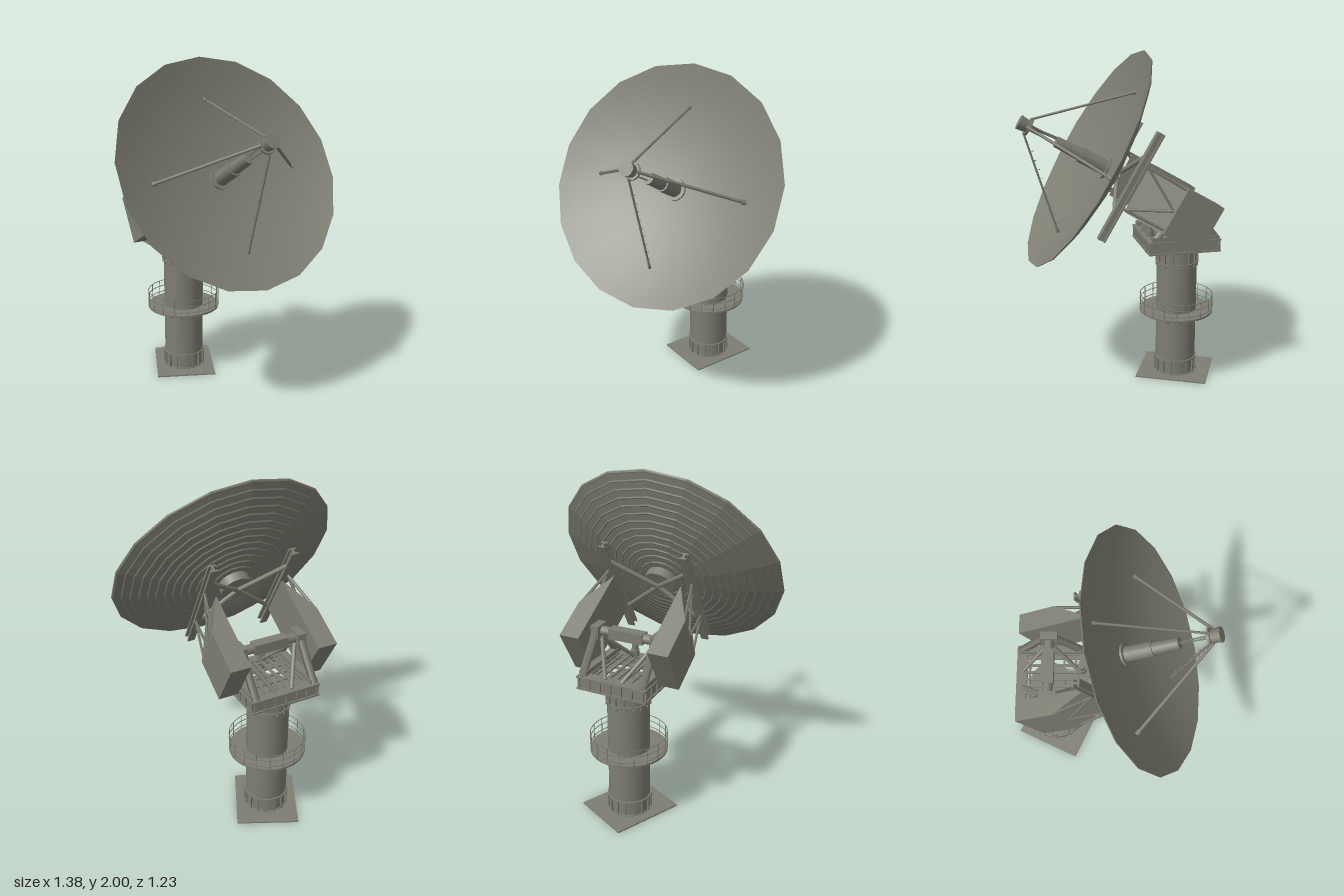
import * as THREE from 'three';

const paint = new THREE.MeshStandardMaterial({ color: 0x7d7d72, side: THREE.DoubleSide });
paint.name = 'olive grey paint';

const V = (x, y, z) => new THREE.Vector3(x, y, z);

function add(parent, name, geometry, x = 0, y = 0, z = 0) {
  const mesh = new THREE.Mesh(geometry, paint);
  mesh.name = name;
  mesh.position.set(x, y, z);
  parent.add(mesh);
  return mesh;
}

function group(parent, name) {
  const g = new THREE.Group();
  g.name = name;
  parent.add(g);
  return g;
}

const box = (p, name, w, h, d, x, y, z) => add(p, name, new THREE.BoxGeometry(w, h, d), x, y, z);

const drum = (p, name, r, y0, y1, sides = 24, open = false) =>
  add(p, name, new THREE.CylinderGeometry(r, r, y1 - y0, sides, 1, open), 0, (y0 + y1) / 2, 0);

// Cylinder along the local z axis
function axial(p, name, r0, r1, z0, z1, sides = 16, y = 0) {
  const g = new THREE.CylinderGeometry(r1, r0, z1 - z0, sides).rotateX(Math.PI / 2);
  return add(p, name, g, 0, y, (z0 + z1) / 2);
}

// Straight member between two points: round, or square when sides is 4
function rod(p, name, a, b, r, sides = 8) {
  const g = new THREE.CylinderGeometry(r, r, a.distanceTo(b), sides);
  if (sides === 4) g.rotateY(Math.PI / 4);
  const mesh = add(p, name, g);
  mesh.position.copy(a).add(b).multiplyScalar(0.5);
  mesh.quaternion.setFromUnitVectors(V(0, 1, 0), b.clone().sub(a).normalize());
  return mesh;
}

const hoop = (p, name, r, t, y) =>
  add(p, name, new THREE.TorusGeometry(r, t, 5, 32).rotateX(Math.PI / 2), 0, y, 0);

// Calls fn with a child group turned to each of n directions
function around(p, name, n, fn) {
  for (let i = 0; i < n; i++) {
    const g = group(p, name);
    g.rotation.y = (i / n) * Math.PI * 2;
    fn(g);
  }
}

function buildTower(root) {
  const tower = group(root, 'tower');

  // Ground plate with a round opening under the column
  const plate = new THREE.Shape([[-1, -1], [1, -1], [1, 1], [-1, 1]].map(
    ([x, y]) => new THREE.Vector2(x * 0.184, y * 0.218)));
  plate.holes.push(new THREE.Path().absarc(0, 0, 0.12, 0, Math.PI * 2, true));
  const plateGeo = new THREE.ExtrudeGeometry(plate, { depth: 0.008, bevelEnabled: false, curveSegments: 24 });
  add(tower, 'basePlate', plateGeo.rotateX(-Math.PI / 2)).rotation.y = -0.358;

  drum(tower, 'column', 0.124, 0, 0.82, 28, true);

  // Bolted flanges with upright gussets
  for (const [y0, y1] of [[0.008, 0.1], [0.73, 0.82]]) {
    for (const y of [y0, y1]) drum(tower, 'flange', 0.133, y - 0.004, y + 0.004, 28);
    around(tower, 'gusset', 16, g => box(g, 'gussetPlate', 0.006, y1 - y0, 0.014, 0, (y0 + y1) / 2, 0.127));
  }
  around(tower, 'lowerBolt', 16, g => box(g, 'lug', 0.012, 0.012, 0.012, 0, 0.712, 0.126));

  // Round gallery with handrail
  const floor = new THREE.LatheGeometry([[0.124, 0.405], [0.228, 0.405], [0.228, 0.417], [0.124, 0.417]]
    .map(([x, y]) => new THREE.Vector2(x, y)), 32).toNonIndexed();
  floor.computeVertexNormals();
  add(tower, 'galleryFloor', floor);
  for (const y of [0.435, 0.475, 0.512]) hoop(tower, 'handrail', 0.226, 0.0025, y);
  around(tower, 'galleryPost', 18, g => rod(g, 'post', V(0, 0.41, 0.226), V(0, 0.512, 0.226), 0.0025, 5));
  around(tower, 'galleryBracket', 12, g => rod(g, 'bracket', V(0, 0.355, 0.122), V(0, 0.406, 0.215), 0.005, 4));
  drum(tower, 'bearing', 0.105, 0.8, 0.85);
}

function buildTurntable(turret) {
  // Rectangular turntable frame with stiffened sides
  const frame = group(turret, 'turntable');
  const zMid = 0.012, w = 0.43, d = 0.44;
  for (const y of [0.84, 0.908]) {
    for (const s of [-1, 1]) {
      box(frame, 'sideFlange', 0.06, 0.01, d, s * (w / 2 - 0.03), y, zMid);
      box(frame, 'endFlange', w, 0.01, 0.06, 0, y, zMid + s * (d / 2 - 0.03));
    }
  }
  for (const s of [-1, 1]) {
    box(frame, 'sideWeb', 0.012, 0.065, d - 0.03, s * (w / 2 - 0.015), 0.874, zMid);
    box(frame, 'endWeb', w - 0.03, 0.065, 0.012, 0, 0.874, zMid + s * (d / 2 - 0.015));
    for (let i = -3; i <= 3; i++) {
      box(frame, 'stiffener', 0.022, 0.065, 0.006, s * (w / 2 - 0.011), 0.874, zMid + i * 0.068);
      box(frame, 'stiffener', 0.006, 0.065, 0.022, i * 0.066, 0.874, zMid + s * (d / 2 - 0.011));
    }
  }
  for (let i = -3; i <= 3; i++) box(frame, 'deckBar', 0.014, 0.01, d - 0.06, i * 0.045, 0.905, zMid);
  for (let i = -2; i <= 2; i++) box(frame, 'deckCrossBar', w - 0.08, 0.01, 0.012, 0, 0.9, zMid + i * 0.07);
  drum(frame, 'slewRing', 0.13, 0.832, 0.846);

  // Two trestles carrying the elevation axle
  const yoke = group(turret, 'yoke');
  const axleY = 1.12;
  for (const s of [-1, 1]) {
    const x = s * 0.185;
    for (const z of [-0.19, 0.2]) {
      rod(yoke, 'trestleLeg', V(x, 0.91, z), V(x, axleY, Math.sign(z) * 0.03), 0.024, 4);
      rod(yoke, 'innerBrace', V(s * 0.05, 0.91, z * 0.9), V(s * 0.165, axleY - 0.03, 0), 0.012);
    }
    box(yoke, 'trestleFoot', 0.045, 0.03, 0.4, x, 0.925, zMid);
    box(yoke, 'axleBearing', 0.05, 0.075, 0.1, x, axleY, 0);
    // Upright drive motors at the front
    const m = group(yoke, 'driveMotor');
    m.position.set(s * 0.055, 0, 0.19);
    drum(m, 'motorBody', 0.026, 0.81, 0.95, 12);
    drum(m, 'motorCap', 0.018, 0.95, 0.99, 12);
  }
  rod(yoke, 'axle', V(-0.22, axleY, 0), V(0.22, axleY, 0), 0.028, 12);
  box(yoke, 'axleHousing', 0.21, 0.06, 0.065, 0, axleY, 0);
}

function buildMount(aim) {
  const mount = group(aim, 'elevationFrame');
  for (const s of [-1, 1]) {
    // Counterweight with a slanted outer front
    const outline = [[0.21, -0.778], [0.33, -0.778], [0.33, -0.53], [0.21, -0.3]]
      .map(([x, z]) => new THREE.Vector2(s * x, z));
    const geo = new THREE.ExtrudeGeometry(new THREE.Shape(outline), { depth: 0.294, bevelEnabled: false });
    add(mount, 'counterweight', geo.rotateX(Math.PI / 2), 0, 0.14, 0);

    // Long I-beam behind the reflector
    const x = s * 0.25;
    for (const z of [-0.268, -0.233]) box(mount, 'beamFlange', 0.045, 0.69, 0.01, x, -0.01, z);
    box(mount, 'beamWeb', 0.012, 0.69, 0.035, x, -0.01, -0.25);

    for (const t of [-1, 1]) {
      rod(mount, 'sideBrace', V(s * 0.265, t * 0.14, -0.27), V(s * 0.32, -0.01, -0.52), 0.009, 4);
      rod(mount, 'edgeBrace', V(s * 0.265, t * 0.135, -0.27), V(s * 0.322, t * 0.13, -0.53), 0.009, 4);
      rod(mount, 'hubBrace', V(x, t * 0.2, -0.25), V(0, 0, -0.215), 0.014);
    }
  }
  axial(mount, 'hub', 0.097, 0.097, -0.205, -0.15, 20);
}

function buildReflector(aim) {
  const dish = group(aim, 'reflector');
  const R = 0.698, depth = 0.145;
  const curve = r => depth * ((r / R) ** 2 - 1);
  const at = (r, z) => new THREE.Vector2(r, z);

  // Smooth bowl
  const front = [];
  for (let i = 0; i <= 16; i++) front.push(at(R * i / 16, curve(R * i / 16)));
  add(dish, 'bowl', new THREE.LatheGeometry(front, 18).rotateX(Math.PI / 2));

  // Stepped panel rings on the back
  const back = [at(R, 0)];
  for (let i = 15; i >= 1; i--) {
    const r = R * i / 15;
    back.push(at(r - 0.002, curve(r) - 0.005), at(r - 0.008, curve(r) - 0.011), at(r - 0.014, curve(r - 0.014) - 0.006));
  }
  const backGeo = new THREE.LatheGeometry(back, 18).rotateX(Math.PI / 2).toNonIndexed();
  backGeo.computeVertexNormals();
  add(dish, 'backPanels', backGeo);

  // Feed horn
  axial(dish, 'hornCollar', 0.066, 0.066, -0.147, -0.13, 18);
  axial(dish, 'hornBase', 0.045, 0.045, -0.135, 0.04, 18);
  axial(dish, 'hornTube', 0.037, 0.033, 0.04, 0.195, 18);
  for (const s of [-1, 1]) rod(dish, 'feedRod', V(0, s * 0.012, 0.19), V(0, s * 0.016, 0.38), 0.004, 6);

  // Secondary unit at the focus
  axial(dish, 'subreflector', 0.05, 0.05, 0.365, 0.378, 12);
  axial(dish, 'receiver', 0.036, 0.043, 0.378, 0.435, 12);

  // Four supporting struts, the lowest with climbing rungs
  const r = 0.468, z = curve(r);
  for (const [x, y, t] of [[1, 0, 0.009], [-1, 0, 0.009], [0, 1, 0.007], [0, -1, 0.006]]) {
    const foot = V(x * r, y * r, z + 0.005), head = V(x * 0.042, y * 0.042, 0.385);
    rod(dish, 'strut', foot, head, t);
    rod(dish, 'strutFoot', foot, foot.clone().lerp(head, 0.04), t * 1.5);
    if (y < 0) {
      for (let i = 1; i <= 9; i++) {
        const c = foot.clone().lerp(head, i / 11);
        box(dish, 'rung', 0.034, 0.004, 0.004, c.x, c.y, c.z);
        rod(dish, 'rungPeg', c, V(c.x, c.y + 0.012, c.z - 0.018), 0.002, 5);
      }
    }
  }
}

export function createModel() {
  const model = new THREE.Group();
  model.name = 'dishAntenna';
  const root = group(model, 'antenna');
  root.position.set(-0.05, 0, -0.34);
  buildTower(root);

  const turret = group(root, 'turret');
  turret.rotation.y = 0.088;
  buildTurntable(turret);

  // Aimed assembly, with z along the pointing axis from the rim centre
  const aim = group(turret, 'aimedAssembly');
  aim.position.set(0, 1.395, 0.565);
  aim.rotation.x = -Math.PI / 6;
  buildMount(aim);
  buildReflector(aim);
  return model;
}
